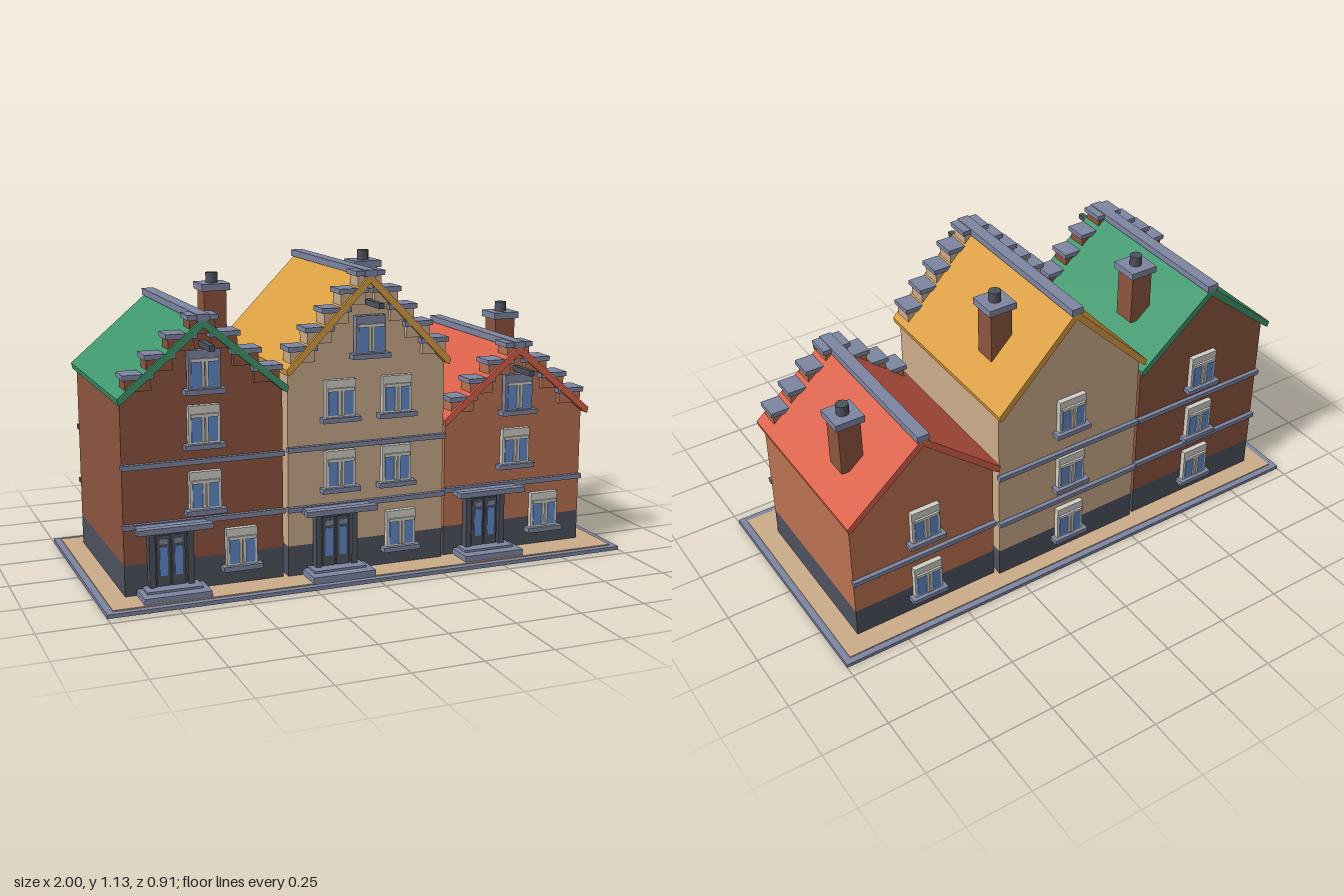
import * as THREE from 'three';

const mat = (name, color) => {
  const m = new THREE.MeshStandardMaterial({ color });
  m.name = name;
  return m;
};

export function createModel() {
  const M = {
    slate: mat('slate trim', 0x7f86a3),
    dark: mat('dark stone', 0x4e525e),
    brown: mat('brown brick', 0x8e5640),
    tan: mat('sandstone', 0xcdad8b),
    orange: mat('orange brick', 0xbc7352),
    green: mat('green tiles', 0x3f966c),
    ochre: mat('ochre tiles', 0xd99e42),
    red: mat('red tiles', 0xd8614a),
    cream: mat('window frame', 0xd2d0c8),
    glass: mat('glass', 0x618aca),
  };

  const group = (parent, name, x = 0, y = 0, z = 0) => {
    const g = new THREE.Group();
    g.name = name;
    g.position.set(x, y, z);
    parent.add(g);
    return g;
  };
  const add = (parent, name, geo, material) => {
    const m = new THREE.Mesh(geo, material);
    m.name = name;
    parent.add(m);
    return m;
  };
  // Box given by its min and max on each axis
  const box = (parent, name, material, x0, x1, y0, y1, z0, z1) => {
    const m = add(parent, name, new THREE.BoxGeometry(x1 - x0, y1 - y0, z1 - z0), material);
    m.position.set((x0 + x1) / 2, (y0 + y1) / 2, (z0 + z1) / 2);
    return m;
  };
  // Polygon extruded along z
  const prism = (parent, name, material, pts, z0, z1) => {
    const shape = new THREE.Shape(pts.map(([x, y]) => new THREE.Vector2(x, y)));
    const geo = new THREE.ExtrudeGeometry(shape, { depth: z1 - z0, bevelEnabled: false });
    geo.translate(0, 0, z0);
    return add(parent, name, geo, material);
  };

  // Window centred on its origin, facing +z
  const addWindow = (parent, x, y, z, frame, back = false) => {
    const w = group(parent, 'window', x, y, z);
    if (back) w.rotation.y = Math.PI;
    box(w, 'windowFrame', frame, -0.057, 0.057, -0.06, 0.075, -0.005, 0.02);
    box(w, 'windowSill', M.slate, -0.073, 0.073, -0.078, -0.06, -0.005, 0.035);
    for (const s of [-1, 1]) {
      box(w, 'pane', M.glass, s * 0.026 - 0.021, s * 0.026 + 0.021, -0.053, 0.035, 0.02, 0.023);
      box(w, 'paneBar', M.cream, s * 0.007 - 0.005, s * 0.007 + 0.005, -0.053, 0.035, 0.02, 0.028);
    }
    box(w, 'transom', M.cream, -0.05, 0.05, 0.034, 0.046, 0.02, 0.028);
  };

  // Door with pillars, canopy and steps
  const addDoor = (parent, x, z) => {
    const d = group(parent, 'door', x, 0, z);
    box(d, 'doorSurround', M.dark, -0.08, 0.08, 0.045, 0.25, -0.005, 0.015);
    for (const s of [-1, 1]) {
      box(d, 'doorPillar', M.dark, s * 0.069 - 0.011, s * 0.069 + 0.011, 0.045, 0.25, 0.01, 0.032);
      box(d, 'doorLeaf', M.dark, s * 0.027 - 0.024, s * 0.027 + 0.024, 0.045, 0.23, 0.01, 0.022);
      box(d, 'doorGlass', M.glass, s * 0.027 - 0.014, s * 0.027 + 0.014, 0.085, 0.19, 0.022, 0.025);
      box(d, 'fanlight', M.slate, s * 0.027 - 0.014, s * 0.027 + 0.014, 0.2, 0.218, 0.022, 0.025);
    }
    box(d, 'canopy', M.slate, -0.125, 0.125, 0.252, 0.272, 0, 0.07);
    box(d, 'canopyLip', M.slate, -0.135, 0.135, 0.257, 0.277, 0.06, 0.09);
    box(d, 'upperStep', M.slate, -0.1, 0.1, 0.015, 0.048, 0, 0.07);
    box(d, 'lowerStep', M.slate, -0.12, 0.12, 0.015, 0.04, 0, 0.112);
  };

  const addChimney = (parent, x, top, foot) => {
    const c = group(parent, 'chimney', x, 0, -0.162);
    box(c, 'chimneyShaft', M.brown, -0.043, 0.043, foot, top - 0.06, -0.043, 0.043);
    box(c, 'chimneySlab', M.slate, -0.055, 0.055, top - 0.064, top - 0.038, -0.055, 0.055);
    const pot = add(c, 'chimneyPot', new THREE.CylinderGeometry(0.023, 0.023, 0.04, 10), M.dark);
    pot.position.y = top - 0.02;
  };

  const addHouse = (root, o) => {
    const h = group(root, o.name, o.x);
    const { half, eave, ridge, roofHalf, front, back, wall } = o;
    const slope = (ridge - eave) / roofHalf;
    const t = 0.034; // vertical roof thickness

    // Plinth and gabled walls
    box(h, 'plinth', M.dark, -half, half, 0.012, 0.13, back, front);
    const shoulder = ridge - slope * half - t + 0.004;
    prism(h, 'walls', wall, [[-half, 0.13], [half, 0.13], [half, shoulder], [0, ridge - t + 0.004], [-half, shoulder]], back, front);

    // Roof shell and ridge beam
    prism(h, 'roof', o.roof, [[0, ridge], [-roofHalf, eave], [-roofHalf + 0.005, eave - t + 0.012], [-roofHalf + 0.018, eave - t + 0.018],
      [0, ridge - t], [roofHalf - 0.018, eave - t + 0.018], [roofHalf - 0.005, eave - t + 0.012], [roofHalf, eave]], back - 0.028, front + 0.03);
    box(h, 'ridgeBeam', M.slate, -0.023, 0.023, ridge - 0.012, ridge + 0.013, back - 0.03, front + 0.032);

    // Stepped gable: capped blocks climbing both sides
    const z1 = front + 0.027, rise = 0.0645, run = rise / slope;
    box(h, 'topCap', M.slate, -0.055, 0.055, ridge - 0.008, ridge + 0.01, z1 - 0.09, z1);
    box(h, 'topBlock', wall, -0.045, 0.045, ridge - 0.055, ridge - 0.008, z1 - 0.083, z1 - 0.008);
    for (let i = 1; i <= o.steps; i++) {
      const y = ridge - i * rise;
      for (const s of [-1, 1]) {
        const x = s * i * run;
        box(h, 'gableCap', M.slate, x - 0.055, x + 0.055, y - 0.004, y + 0.014, z1 - 0.09, z1);
        box(h, 'gableBlock', wall, x - 0.046, x + 0.046, y - 0.045, y - 0.004, z1 - 0.083, z1 - 0.008);
      }
    }

    // Hoisting beam
    box(h, 'hoistBeam', M.dark, -0.01, 0.01, o.hoist - 0.01, o.hoist + 0.01, front - 0.02, front + 0.125);

    // Floor bands front and back
    for (const y of o.bands) {
      box(h, 'frontBand', M.slate, -half - 0.004, half + 0.004, y - 0.009, y + 0.009, front - 0.005, front + 0.016);
      box(h, 'backBand', M.slate, -half - 0.004, half + 0.004, y - 0.009, y + 0.009, back - 0.016, back + 0.005);
    }

    // Windows and door
    addWindow(h, 0.13, 0.15, front, M.cream);
    addWindow(h, 0, 0.15, back, M.cream, true);
    for (const y of o.floors) {
      for (const x of o.columns) addWindow(h, x, y, front, M.cream);
      addWindow(h, 0, y, back, M.cream, true);
    }
    addWindow(h, 0, o.attic, front + 0.012, M.slate);
    addDoor(h, -0.13, front);
    addChimney(h, 0.187, o.chimney, o.chimney - 0.26);
  };

  const root = new THREE.Group();
  root.name = 'townhouseRow';

  // Paved base
  box(root, 'basePlate', M.slate, -1, 1, 0, 0.014, -0.455, 0.455);
  box(root, 'pavement', M.tan, -0.975, 0.975, 0.012, 0.018, -0.43, 0.43);

  addHouse(root, {
    name: 'leftHouse', x: -0.613, half: 0.291, eave: 0.722, ridge: 0.98, roofHalf: 0.306, front: 0.315, back: -0.357,
    wall: M.brown, roof: M.green, steps: 3, hoist: 0.89, bands: [0.267, 0.478], floors: [0.368, 0.602], columns: [0],
    attic: 0.797, chimney: 1.07,
  });
  addHouse(root, {
    name: 'middleHouse', x: 0, half: 0.305, eave: 0.78, ridge: 1.103, roofHalf: 0.318, front: 0.322, back: -0.365,
    wall: M.tan, roof: M.ochre, steps: 4, hoist: 1.0, bands: [0.267, 0.487], floors: [0.397, 0.655], columns: [-0.11, 0.11],
    attic: 0.88, chimney: 1.13,
  });
  addHouse(root, {
    name: 'rightHouse', x: 0.61, half: 0.29, eave: 0.546, ridge: 0.807, roofHalf: 0.306, front: 0.308, back: -0.348,
    wall: M.orange, roof: M.red, steps: 3, hoist: 0.716, bands: [0.272], floors: [0.412], columns: [0],
    attic: 0.622, chimney: 0.895,
  });
  return root;
}
